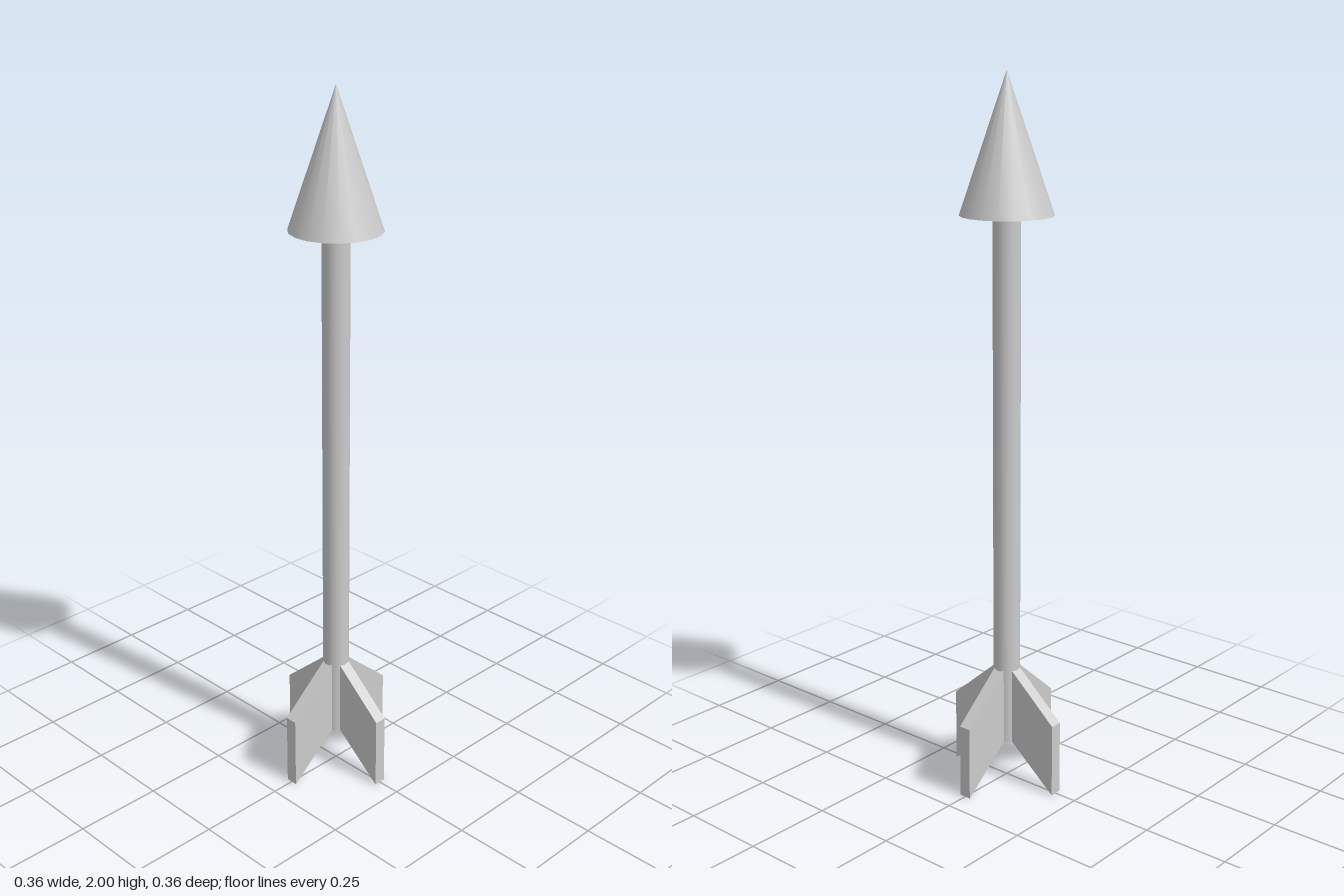
import * as THREE from 'three';

export function createModel() {
  const model = new THREE.Group();
  const material = new THREE.MeshStandardMaterial({ color: 0xcccccc });

  function add(name, geometry, y = 0) {
    const mesh = new THREE.Mesh(geometry, material);
    mesh.name = name;
    mesh.position.y = y;
    model.add(mesh);
    return mesh;
  }

  // Pointed head, closed underneath
  const tipBase = 1.626, tipHeight = 2 - tipBase;
  add('arrowHead', new THREE.ConeGeometry(0.127, tipHeight, 18), tipBase + tipHeight / 2);

  // Straight round shaft
  const shaftBottom = 0.118, shaftLength = tipBase - shaftBottom;
  add('shaft', new THREE.CylinderGeometry(0.038, 0.038, shaftLength, 18), shaftBottom + shaftLength / 2);

  // Four swept-back fins, extruded slabs repeated around the shaft
  const thickness = 0.035;
  const outline = new THREE.Shape([
    new THREE.Vector2(0.034, 0.12),
    new THREE.Vector2(0.182, 0),
    new THREE.Vector2(0.182, 0.212),
    new THREE.Vector2(0.034, 0.34),
  ]);
  const finGeometry = new THREE.ExtrudeGeometry(outline, { depth: thickness, bevelEnabled: false });
  finGeometry.translate(0, 0, -thickness / 2);
  ['leftFin', 'backFin', 'rightFin', 'frontFin'].forEach((name, i) => {
    add(name, finGeometry).rotation.y = (i * Math.PI) / 2;
  });

  return model;
}
